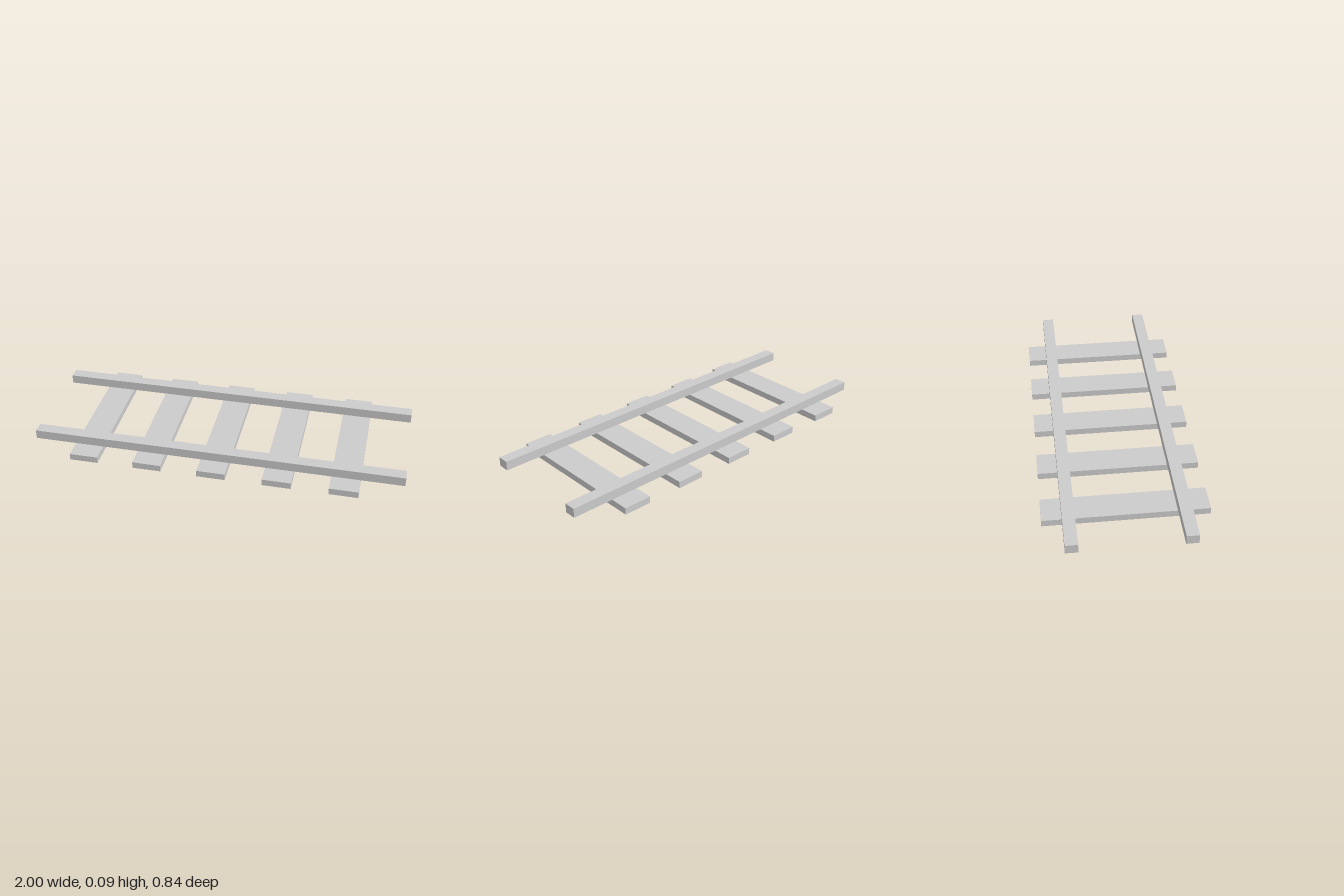
import * as THREE from 'three';

export function createModel() {
  const track = new THREE.Group();
  track.name = 'railwayTrack';
  const material = new THREE.MeshStandardMaterial({ color: 0xcccccc, flatShading: true });

  const sleeperHeight = 0.036;
  const railHeight = 0.05;

  function addBeam(name, geometry, x, y, z) {
    const beam = new THREE.Mesh(geometry, material);
    beam.name = name;
    beam.position.set(x, y, z);
    track.add(beam);
  }

  // Five evenly spaced sleepers lying on the ground
  const sleeper = new THREE.BoxGeometry(0.153, sleeperHeight, 0.843);
  for (let i = -2; i <= 2; i++) {
    addBeam(`sleeper${i + 3}`, sleeper, i * 0.348, sleeperHeight / 2, 0);
  }

  // Two rails resting on the sleepers
  const rail = new THREE.BoxGeometry(2, railHeight, 0.064);
  for (const [name, side] of [['frontRail', 1], ['backRail', -1]]) {
    addBeam(name, rail, 0, sleeperHeight + railHeight / 2, side * 0.288);
  }

  return track;
}
